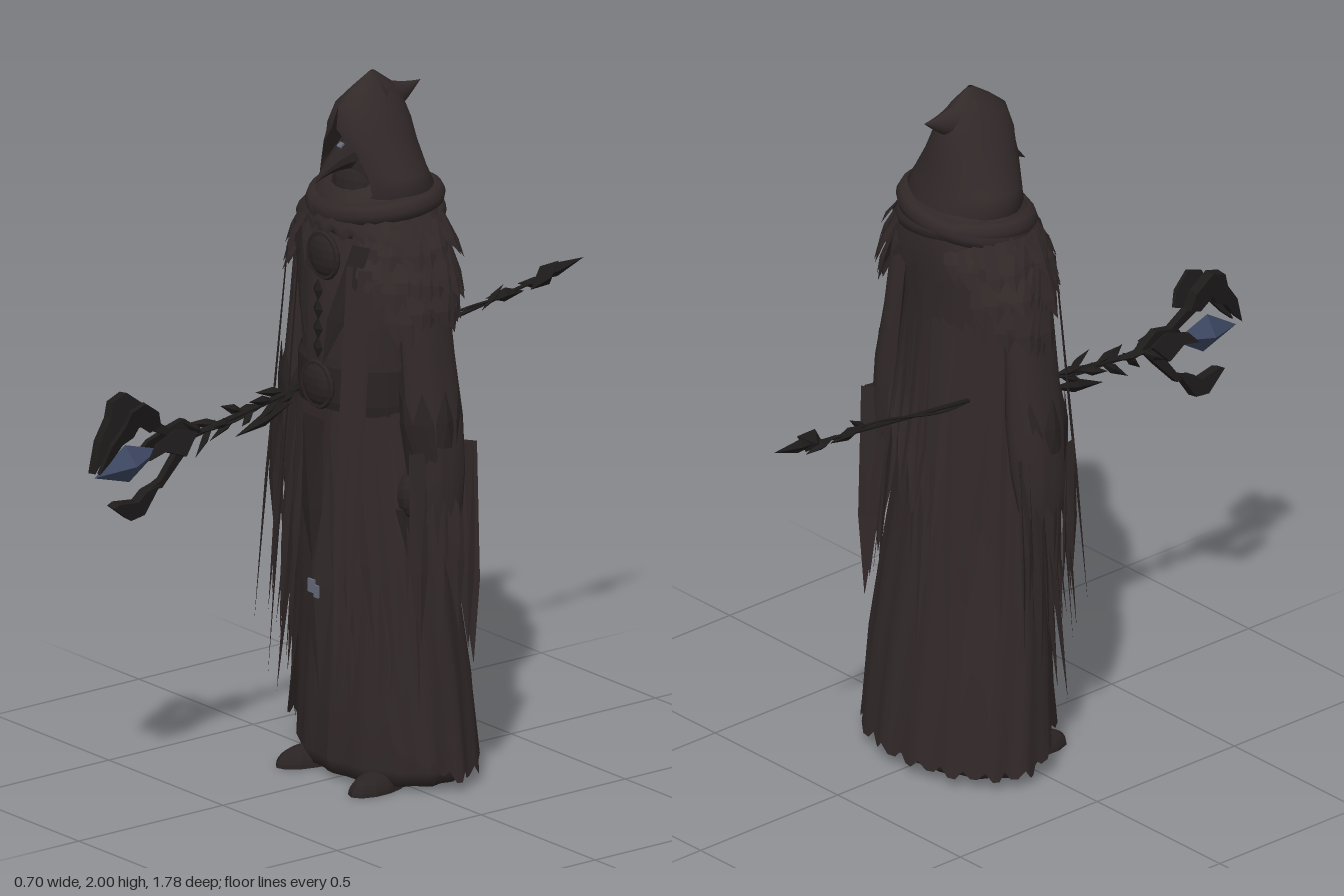
import * as THREE from 'three';
import { mergeGeometries } from 'three/addons/utils/BufferGeometryUtils.js';

const mat = (name, color, flat = false) => {
  const m = new THREE.MeshStandardMaterial({ color, side: THREE.DoubleSide, flatShading: flat });
  m.name = name;
  return m;
};
const V = (x, y, z) => new THREE.Vector3(x, y, z);

// Cloth surface from rows [y, half width, front z, back z, front opening angle]
function loft(rows, segs = 40, fold = 0, waves = 11, hem = () => 0) {
  const pos = [], idx = [];
  rows.forEach(([y, rx, zf, zb, open = 0], i) => {
    const t = i / (rows.length - 1);
    for (let j = 0; j <= segs; j++) {
      const a = open + (2 * Math.PI - 2 * open) * j / segs;
      const k = 1 + fold * t * Math.sin(waves * a + 2 * t);
      pos.push(rx * k * Math.sin(a), y + hem(a, j) * t * t, (zf + zb) / 2 + (zf - zb) / 2 * k * Math.cos(a));
      if (i && j) {
        const d = i * (segs + 1) + j, c = d - segs - 1;
        idx.push(c - 1, d - 1, c, c, d - 1, d);
      }
    }
  });
  const g = new THREE.BufferGeometry();
  g.setAttribute('position', new THREE.Float32BufferAttribute(pos, 3));
  g.setIndex(idx);
  g.computeVertexNormals();
  return g;
}

// Ridged, pointed strip of cloth hanging from top to tip
function strip(top, tip, w, out) {
  const side = V(0, 1, 0).cross(out).normalize().multiplyScalar(w / 2);
  const mid = top.clone().lerp(tip, 0.62);
  const ridge = mid.clone().addScaledVector(out, w * 0.15);
  const a = top.clone().sub(side), b = top.clone().add(side);
  const c = mid.clone().addScaledVector(side, -1.1), d = mid.clone().addScaledVector(side, 0.9);
  const tris = [a, c, ridge, a, ridge, top, top, ridge, b, b, ridge, d, c, tip, ridge, ridge, tip, d];
  const g = new THREE.BufferGeometry().setFromPoints(tris);
  g.computeVertexNormals();
  return g;
}

export function createModel() {
  const root = new THREE.Group();
  let seed = 7;
  const rnd = () => (seed = (seed * 16807) % 2147483647) / 2147483647;
  const cloth = mat('dark cloth', 0x322929), leather = mat('worn leather', 0x2a2323, true);
  const metal = mat('black metal', 0x1e1b1b, true), gem = mat('blue crystal', 0x3c4761, true);
  const tag = mat('grey tag', 0x666c7a);
  const add = (name, geo, m, parent = root, p = [0, 0, 0], s = [1, 1, 1], r = [0, 0, 0]) => {
    const o = new THREE.Mesh(geo, m);
    o.name = name;
    o.position.set(...p); o.scale.set(...s); o.rotation.set(...r);
    parent.add(o);
    return o;
  };

  // Robe: closed inner robe, then an outer layer open in front with a slanted hem
  add('innerRobe', loft([[1.6, .14, .09, -.12], [1.45, .2, .14, -.14], [1.3, .19, .165, -.13], [1.15, .185, .16, -.13],
    [1, .2, .15, -.14], [.6, .24, .12, -.18], [.25, .275, .125, -.225], [.06, .285, .135, -.25],
    [.015, .26, .115, -.23], [.03, .02, -.04, -.08]], 64, .03, 14), cloth);
  add('outerRobe', loft([[1.12, .195, .165, -.14, .35], [.9, .23, .16, -.17, .4], [.6, .265, .145, -.21, .5],
    [.3, .295, .145, -.25, .65], [.03, .312, .155, -.275, .8]], 60, .03, 15,
  (a, j) => .14 * Math.max(0, Math.cos(a)) + (j % 3 ? 0 : .025)), cloth);

  // Back cape with a torn diagonal edge
  add('backCape', loft([[1.57, .2, .12, -.175, 1.7], [1.3, .22, .12, -.15, 1.85], [1, .235, .12, -.175, 2],
    [.72, .24, .12, -.21, 2.1]], 36, .03, 13, (a, j) => (j % 4) * .05 + .22 * Math.sin(a)), cloth);

  // Draped cowl over the shoulders
  add('cowl', loft([[1.71, .13, .06, -.14], [1.68, .175, .1, -.18], [1.63, .195, .125, -.195], [1.57, .235, .15, -.2],
    [1.52, .255, .145, -.195]], 48, .035, 7, (a, j) => .04 * Math.cos(a) + (j % 2) * .025), cloth);
  for (const s of [1, -1])
    add('cowlFold', new THREE.TorusGeometry(.165, .028, 8, 32), cloth, root,
      [0, 1.625 + .01 * s, -.03], [1.1, .93, 1.2], [Math.PI / 2 + .1, .12 * s, 0]);

  // Hood with a face opening and a tip bent backwards
  add('hood', loft([[2, .004, -.01, -.025], [1.96, .035, .05, -.08], [1.92, .065, .1, -.11], [1.86, .1, .115, -.13, .1],
    [1.8, .128, .115, -.14, .6], [1.73, .165, .105, -.155, .68], [1.69, .185, .1, -.17, .66], [1.62, .15, .1, -.185, .5]], 40), cloth);
  const tip = new THREE.ConeGeometry(.075, .16, 14, 6);
  tip.rotateX(-Math.PI / 2);
  const tp = tip.attributes.position;
  for (let i = 0; i < tp.count; i++) {
    const t = (.08 - tp.getZ(i)) / .16;
    tp.setY(i, tp.getY(i) + .035 * t * t);
  }
  tip.computeVertexNormals();
  add('hoodTip', tip, cloth, root, [0, 1.905, -.105], [.8, 1, 1]);

  // Beaked mask
  add('mask', new THREE.SphereGeometry(.1, 16, 12), leather, root, [0, 1.73, -.01], [1, 1.15, .9]);
  const beak = new THREE.ConeGeometry(.055, .15, 10, 6);
  beak.rotateX(Math.PI / 2);
  const bp = beak.attributes.position;
  for (let i = 0; i < bp.count; i++) {
    const z = bp.getZ(i) + .075;
    bp.setY(i, bp.getY(i) * 1.1 - 3.2 * z * z);
  }
  beak.computeVertexNormals();
  add('beak', beak, leather, root, [0, 1.785, .11]);
  add('beakStud', new THREE.BoxGeometry(.016, .016, .006), tag, root, [.01, 1.812, .1], [1, 1, 1], [-.9, 0, 0]);
  add('chin', new THREE.SphereGeometry(.08, 14, 10), leather, root, [0, 1.69, .04], [1, .95, .7]);

  // Mirrored fringes: strips spread around an ellipse between two angles
  const fringe = (name, n, y, rx, rz, cz, len, w, flare, a0, a1) => {
    const parts = [];
    for (const s of [1, -1]) for (let i = 0; i < n; i++) {
      const a = s * (a0 + (a1 - a0) * (i + .5) / n), out = V(Math.sin(a), 0, Math.cos(a));
      const f = flare * (.6 + .6 * rnd());
      parts.push(strip(V(rx * out.x, y, cz + rz * out.z),
        V((rx + f) * out.x, y - len * (.7 + .5 * rnd()), cz + (rz + f) * out.z), w, out));
    }
    add(name, mergeGeometries(parts), cloth);
  };
  fringe('upperFeathers', 12, 1.62, .215, .15, -.025, .13, .065, .06, .5, 2.7);
  fringe('middleFeathers', 12, 1.54, .25, .15, -.025, .14, .07, .055, .55, 2.4);
  fringe('lowerFeathers', 9, 1.46, .275, .13, -.025, .15, .07, .035, .8, 2.2);
  fringe('skirtTatters', 13, 1.08, .2, .15, 0, .75, .05, .075, .4, 2.4);
  fringe('backTatters', 6, 1.4, .225, .145, 0, 1.05, .05, .09, 2.1, Math.PI);

  // Sleeves, bracers, hands and hanging sleeve tatters
  for (const s of [1, -1]) {
    const arm = new THREE.Group();
    arm.name = s > 0 ? 'leftArm' : 'rightArm';
    arm.position.set(.215 * s, 1.54, -.01);
    arm.rotation.z = .11 * s;
    root.add(arm);
    add('sleeve', loft([[.02, .03, .05, -.05], [-.1, .052, .075, -.08], [-.3, .052, .08, -.09], [-.48, .066, .08, -.1],
      [-.62, .068, .075, -.095], [-.74, .05, .06, -.08]], 24, .05, 6, (a, j) => (j % 2) * .05), cloth, arm);
    const plates = [], tatters = [];
    for (let i = 0; i < 8; i++) {
      const a = i * Math.PI / 4, out = V(Math.sin(a), 0, Math.cos(a));
      plates.push(strip(V(out.x * .055, -.62, out.z * .07), V(out.x * .072, -.38, out.z * .09), .06, out));
    }
    add('bracer', mergeGeometries(plates), leather, arm);
    add('palm', new THREE.SphereGeometry(.05, 10, 8), leather, arm, [-.035 * s, -.68, .05], [.85, 1.3, 1]);
    for (let i = 0; i < 4; i++)
      add('finger', new THREE.ConeGeometry(.015, .14, 6), leather, arm, [-.045 * s, -.78, .012 + i * .024], [1, 1, 1], [Math.PI + .1, 0, 0]);
    for (let i = 0; i < 10; i++) {
      const z = .07 - i * .02, len = .2 + .42 * rnd();
      tatters.push(strip(V(s * (.285 + .03 * rnd()), 1.0, z), V(s * (.31 + .045 * rnd()), .95 - len, z - .01), .055,
        V(s, 0, i % 2 ? 1.4 : .2).normalize()));
    }
    add('sleeveTatters', mergeGeometries(tatters), cloth);

    // Front panels and long loose ribbons
    const panels = [];
    for (const [x, w, yb, z] of [[.09, .06, .42, .165], [.14, .07, .3, .16], [.19, .06, .4, .14], [.235, .05, .33, .11]])
      panels.push(strip(V(x * s * .85, 1.08, z), V(x * s * 1.2, yb + .08 * rnd(), z + .01), w, V(.6 * s * x / .2, 0, 1)));
    for (const [x, yb] of [[.12, .28], [.17, .42]])
      panels.push(strip(V(x * s, 1.5, .14), V(x * s * 1.2, yb, .23), .04, V(.7 * s, 0, .7)));
    add('frontPanels', mergeGeometries(panels), cloth);

    // Chest straps and boots
    add('chestStrap', strip(V(.14 * s, 1.56, .13), V(.03 * s, 1.2, .18), .06, V(.3 * s, 0, 1)), leather);
    add('boot', new THREE.SphereGeometry(.05, 12, 8, 0, Math.PI * 2, 0, Math.PI / 2), leather, root, [.15 * s, 0, .085], [1.05, 1.1, 2], [0, .15 * s, 0]);
  }

  // Belt, buckle, brooch and pendant chain
  add('belt', loft([[1.22, .19, .168, -.14], [1.2, .2, .175, -.145], [1.1, .202, .175, -.15], [1.07, .2, .168, -.145]], 32), leather);
  for (const [name, y, z] of [['buckle', 1.14, .172], ['brooch', 1.505, .152]]) {
    add(name, new THREE.SphereGeometry(.06, 16, 8), leather, root, [0, y, z], [1, 1, .35]);
    add(name + 'Rim', new THREE.TorusGeometry(.062, .008, 6, 20), leather, root, [0, y, z]);
  }
  for (let i = 0; i < 4; i++)
    add('chainLink', new THREE.OctahedronGeometry(.03), metal, root, [0, 1.41 - i * .055, .17], [.7, 1.1, .35]);

  // Pointed tabard with a small two-piece tag
  add('tabard', strip(V(0, 1.08, .172), V(0, .25, .165), .13, V(0, 0, 1)), cloth);
  add('tabardOverlay', strip(V(0, 1.05, .185), V(0, .63, .19), .09, V(0, 0, 1)), leather);
  add('tag', new THREE.BoxGeometry(.026, .038, .006), tag, root, [0, .567, .193]);
  add('tagEnd', new THREE.BoxGeometry(.018, .035, .006), tag, root, [.021, .555, .192]);

  // Staff: built along its own z axis
  const staff = new THREE.Group();
  staff.name = 'staff';
  staff.position.set(-.125, 1.113, 0);
  staff.rotation.set(.137, .055, 0);
  root.add(staff);
  add('shaft', new THREE.CylinderGeometry(.009, .005, 1.4, 7), metal, staff, [0, 0, -.1], [1, 1, 1], [Math.PI / 2, 0, 0]);
  const coil = Array.from({ length: 38 }, (_, i) => V(.011 * Math.cos(i * .35), .011 * Math.sin(i * .35), -.6 + i * .03));
  add('coil', new THREE.TubeGeometry(new THREE.CatmullRomCurve3(coil), 100, .004, 4), metal, staff);
  const shard = (name, p, s, r = 0, m = metal, ry = 0) => add(name, new THREE.OctahedronGeometry(1), m, staff, p, s, [r, ry, 0]);
  shard('rearBlade', [0, .005, -.8], [.014, .02, .1]);
  shard('rearBarb', [.008, .008, -.75], [.028, .034, .06], .4);
  shard('rearBarb', [-.006, -.006, -.72], [.018, .016, .06], -.3);
  shard('rearKnot', [0, 0, -.61], [.014, .02, .07], -.2);
  shard('rearKnot', [.008, .012, -.56], [.01, .012, .05], .5);
  for (let i = 0; i < 14; i++) {
    const a = i * 2.4, near = i / 13;
    shard('thorn', [.02 * Math.cos(a), .022 * Math.sin(a), .2 + i * .03], [.012, .014, .035 + .03 * rnd()],
      -.5 * Math.sin(a) * (.6 + near), metal, .4 * Math.cos(a));
  }
  shard('lowerGuard', [0, -.045, .28], [.015, .02, .11], .12);
  shard('crystal', [0, .005, .775], [.042, .055, .12], 0, gem);

  // Claws around the crystal, drawn as [z, y] outlines and tilted sideways
  const claw = (name, pts, depth, x = 0, lean = 0) => {
    const g = new THREE.ExtrudeGeometry(new THREE.Shape(pts.map(([z, y]) => new THREE.Vector2(z, y))),
      { depth, bevelEnabled: false });
    g.translate(0, 0, -depth / 2);
    g.rotateY(-Math.PI / 2);
    add(name, g, metal, staff, [x, 0, 0], [1, 1, 1], [0, 0, lean]);
  };
  const upperClaw = [[.68, .1], [.69, .15], [.74, .2], [.79, .19], [.81, .15], [.86, .1], [.9, .02], [.86, .05], [.82, .09], [.78, .1], [.76, .13], [.72, .09]];
  claw('upperClaw', upperClaw, .03, 0, .12);
  claw('upperClawEdge', upperClaw.map(([z, y]) => [z - .01, y * .93]), .012, .01, -.22);
  claw('upperArm', [[.5, 0], [.56, .06], [.62, .055], [.67, .1], [.73, .105], [.68, .07], [.62, .03], [.56, .02]], .022, 0, .1);
  claw('lowerArm', [[.53, 0], [.59, -.01], [.66, -.085], [.71, -.1], [.66, -.11], [.58, -.045]], .02, 0, -.12);
  claw('lowerClaw', [[.67, -.095], [.72, -.1], [.75, -.12], [.82, -.1], [.84, -.105], [.78, -.165], [.73, -.165]], .03, 0, -.12);
  for (const s of [1, -1])
    claw('sideClaw', [[.54, .02], [.6, .05], [.68, .035], [.72, 0], [.66, .005], [.6, -.03]], .012, s * .03, .3 * s);
  return root;
}
